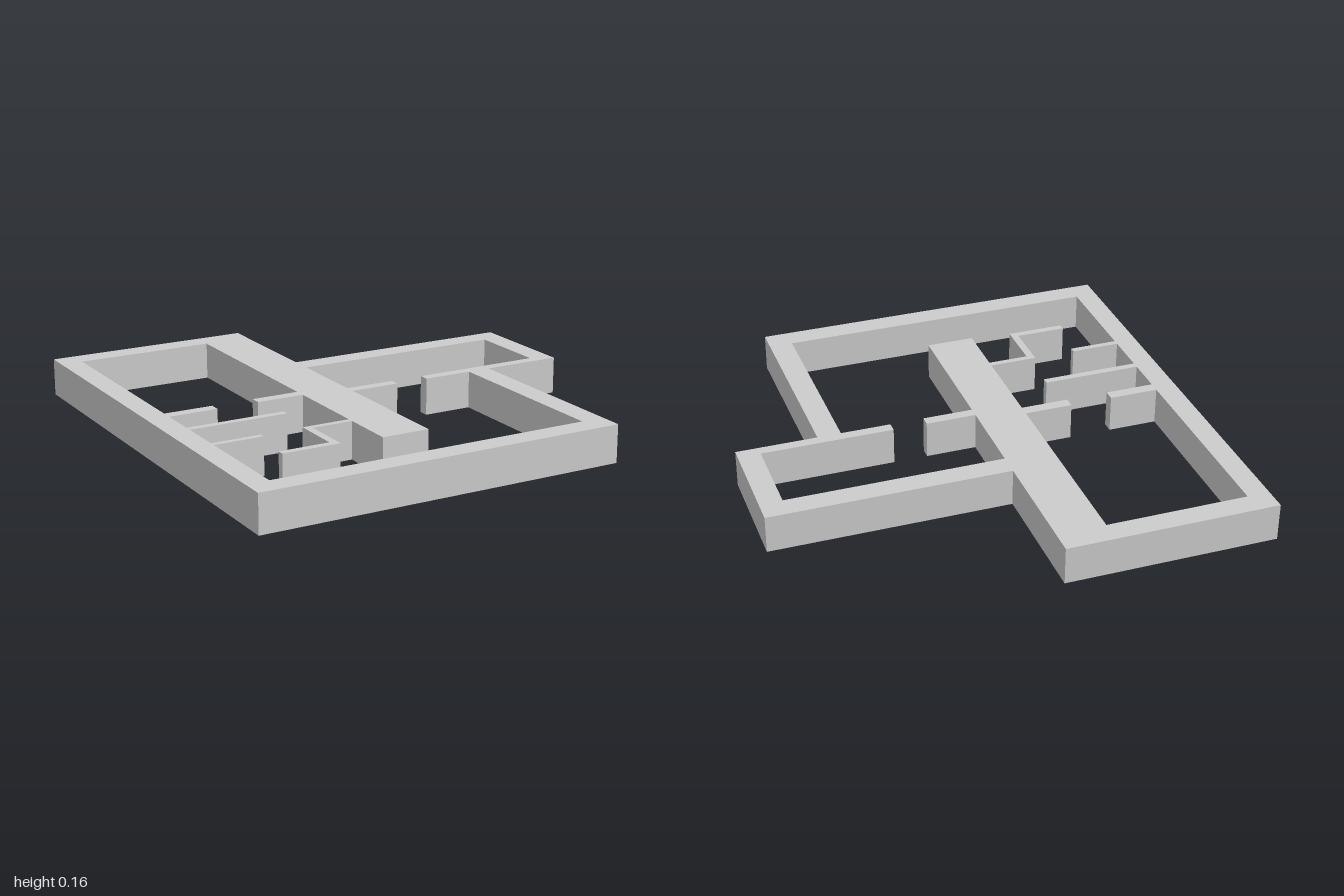
import * as THREE from 'three';

const HEIGHT = 0.162;
const material = new THREE.MeshStandardMaterial({ color: 0xcccccc, flatShading: true });

// Plan points are [x, z], clockwise seen from above; reversing keeps every side wall facing out.
const toPoints = (plan) => plan.map(([x, z]) => new THREE.Vector2(x, -z)).reverse();

function raisePlan(name, outline, hole) {
  const shape = new THREE.Shape(toPoints(outline));
  if (hole) shape.holes.push(new THREE.Path(toPoints(hole).reverse()));
  const geometry = new THREE.ExtrudeGeometry(shape, { depth: HEIGHT, bevelEnabled: false });
  geometry.rotateX(-Math.PI / 2);
  const mesh = new THREE.Mesh(geometry, material);
  mesh.name = name;
  return mesh;
}

function wall(name, x0, x1, z0, z1) {
  const mesh = new THREE.Mesh(new THREE.BoxGeometry(x1 - x0, HEIGHT, z1 - z0), material);
  mesh.position.set((x0 + x1) / 2, HEIGHT / 2, (z0 + z1) / 2);
  mesh.name = name;
  return mesh;
}

export function createModel() {
  const group = new THREE.Group();
  group.name = 'floorPlanWalls';

  // Thick outer walls, the side room and the central spine, around one open interior
  group.add(raisePlan('outerWallsAndSpine',
    [[-0.972, -1], [-0.061, -1], [-0.061, -0.423], [0.972, -0.423],
      [0.972, 0.083], [0.622, 0.083], [0.622, 1], [-0.972, 1]],
    [[-0.876, -0.902], [-0.269, -0.902], [-0.269, 0.68], [-0.061, 0.68],
      [-0.061, -0.326], [0.875, -0.326], [0.875, 0.037], [0.303, 0.037],
      [0.303, 0.083], [0.52, 0.083], [0.52, 0.901], [-0.876, 0.901]]));

  // Stubs on both sides of the doorways
  group.add(wall('backDoorStubRight', -0.876, -0.662, -0.021, 0.028));
  group.add(wall('backDoorStubLeft', -0.478, -0.269, -0.021, 0.028));
  group.add(wall('sideRoomDoorStub', -0.061, 0.157, 0.037, 0.083));
  group.add(wall('frontDoorStub', -0.876, -0.662, 0.414, 0.44));

  // Thin partition between the small rooms
  group.add(wall('longPartition', -0.876, -0.446, 0.192, 0.223));

  // Stepped partition running forward from the spine
  group.add(raisePlan('steppedPartition',
    [[-0.478, 0.414], [-0.269, 0.414], [-0.269, 0.44], [-0.446, 0.44],
      [-0.446, 0.661], [-0.697, 0.661], [-0.697, 0.63], [-0.478, 0.63]]));

  return group;
}
